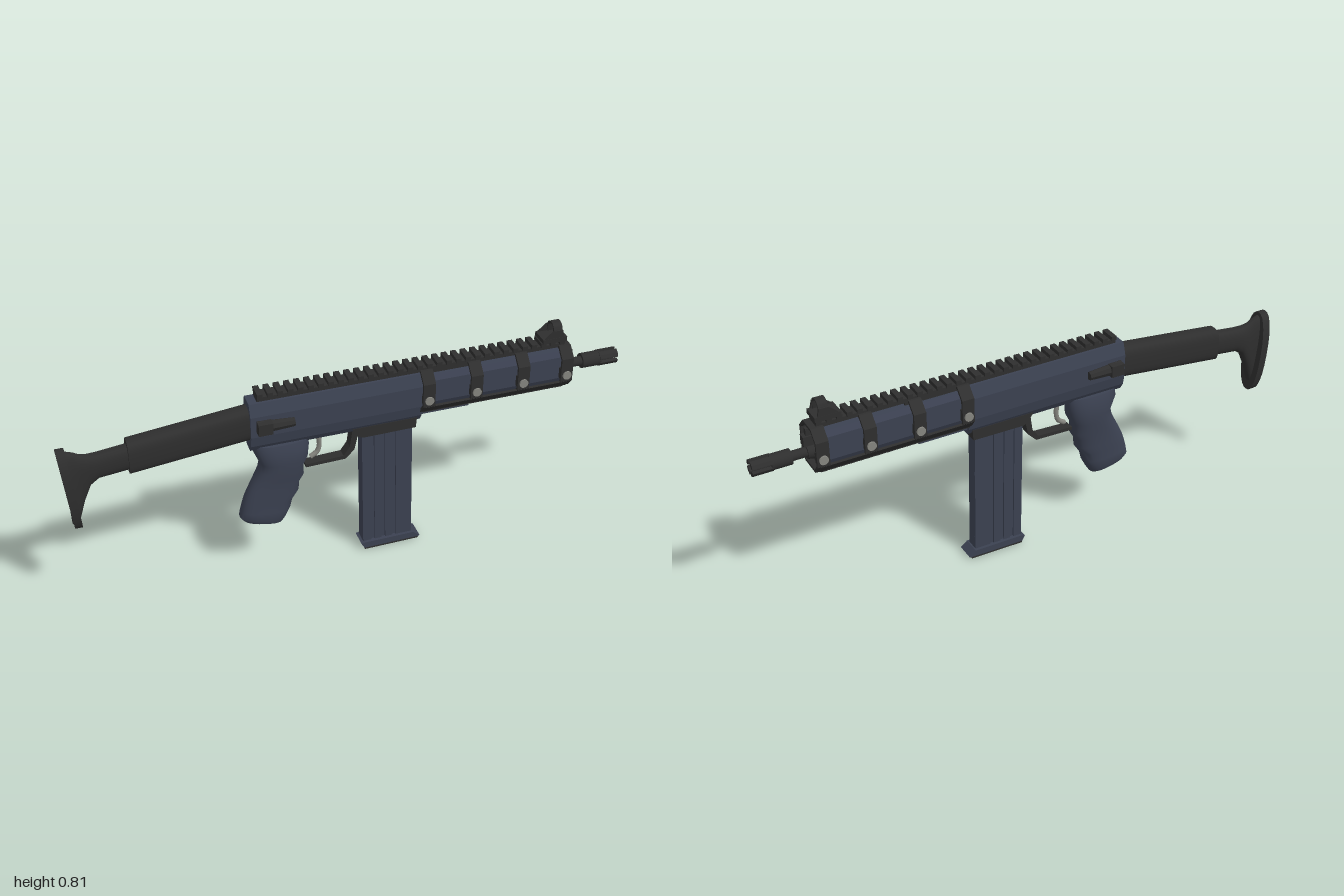
import * as THREE from 'three';
import { toCreasedNormals } from 'three/addons/utils/BufferGeometryUtils.js';

const mat = (name, color) => new THREE.MeshStandardMaterial({ name, color });

export function createModel() {
  const model = new THREE.Group();
  const blue = mat('slate blue', 0x3b4151);
  const dark = mat('charcoal', 0x2e2e2e);
  const grey = mat('steel grey', 0x85857f);

  const add = (name, geometry, material) => {
    const mesh = new THREE.Mesh(geometry, material);
    mesh.name = name;
    model.add(mesh);
    return mesh;
  };
  const box = (name, m, x0, x1, y0, y1, z0, z1) => add(name,
    new THREE.BoxGeometry(x1 - x0, y1 - y0, z1 - z0)
      .translate((x0 + x1) / 2, (y0 + y1) / 2, (z0 + z1) / 2), m);
  const toShape = (pts) => new THREE.Shape(pts.map((p) => new THREE.Vector2(...p)));
  const mirrored = (half) => [...half, ...half.map(([z, y]) => [-z, y]).reverse()];
  // Side outline in x,y with thickness across z
  const plate = (name, m, pts, z0, z1) => add(name,
    new THREE.ExtrudeGeometry(toShape(pts), { depth: z1 - z0, bevelEnabled: false })
      .translate(0, 0, z0), m);
  // Cross-section in z,y stretched along x
  const prism = (name, m, shape, x0, x1, creased = false) => {
    let g = new THREE.ExtrudeGeometry(shape, { depth: x1 - x0, bevelEnabled: false, curveSegments: 16 });
    g.rotateY(Math.PI / 2).translate(x0, 0, 0);
    if (creased) g = toCreasedNormals(g, 0.6);
    return add(name, g, m);
  };
  const rod = (name, m, x0, x1, y, r0, r1 = r0) => add(name,
    new THREE.CylinderGeometry(r1, r0, x1 - x0, 24).rotateZ(-Math.PI / 2)
      .translate((x0 + x1) / 2, y, 0), m);
  // Skin over a row of closed rings, capped at both ends
  const loft = (name, m, rings, crease = 0.7) => {
    const n = rings[0].length, pos = rings.flat(2), index = [];
    for (let i = 0; i < rings.length - 1; i++) for (let j = 0; j < n; j++) {
      const a = i * n + j, b = i * n + (j + 1) % n;
      index.push(a, b, a + n, b, b + n, a + n);
    }
    for (const [ring, start] of [[rings[0], true], [rings[rings.length - 1], false]]) {
      const c = pos.length / 3, base = start ? 0 : (rings.length - 1) * n;
      for (let k = 0; k < 3; k++) pos.push(ring.reduce((s, p) => s + p[k], 0) / n);
      for (let j = 0; j < n; j++) {
        const a = base + j, b = base + (j + 1) % n;
        index.push(c, ...(start ? [b, a] : [a, b]));
      }
    }
    const g = new THREE.BufferGeometry();
    g.setAttribute('position', new THREE.Float32BufferAttribute(pos, 3));
    g.setIndex(index);
    return add(name, toCreasedNormals(g, crease), m);
  };
  const oval = (fn, power = 0.7, n = 28) => Array.from({ length: n }, (_, i) => {
    const a = i / n * Math.PI * 2, c = Math.cos(a), s = Math.sin(a);
    return fn(Math.sign(c) * Math.abs(c) ** power, Math.sign(s) * Math.abs(s) ** power);
  });

  // Receiver and the slimmer body under the handguard cage
  prism('receiver', blue, toShape(mirrored([[0.022, 0.525], [0.037, 0.55], [0.045, 0.59],
    [0.045, 0.67], [0.03, 0.715]])), -0.36, 0.25);
  prism('handguardBody', blue, toShape(mirrored([[0.03, 0.575], [0.042, 0.6],
    [0.042, 0.685], [0.03, 0.705]])), 0.25, 0.77);
  plate('lowerWedge', blue, [[0.22, 0.545], [0.43, 0.545], [0.43, 0.58], [0.22, 0.58]], -0.025, 0.025);

  // Toothed rails above and below
  box('topRailBase', dark, -0.33, 0.78, 0.718, 0.733, -0.025, 0.025);
  for (let i = 0; i < 32; i++) {
    const x = -0.33 + i * 0.0352;
    box('topRailTooth', dark, x, x + 0.019, 0.731, 0.747, -0.03, 0.03);
  }
  box('topRailFoot', dark, -0.33, 0.47, 0.705, 0.72, -0.02, 0.02);
  box('bottomRailBase', dark, 0.25, 0.78, 0.565, 0.582, -0.045, 0.045);
  for (let i = 0; i < 8; i++) {
    const x = 0.53 + i * 0.0325;
    box('bottomRailTooth', dark, x, x + 0.018, 0.55, 0.567, -0.025, 0.025);
  }

  // Handguard cage: four hoops joined by lower side bars
  const hoop = toShape(mirrored([[0.042, 0.567], [0.068, 0.6], [0.068, 0.69], [0.033, 0.726]]));
  hoop.holes.push(new THREE.Path(mirrored([[0.037, 0.576], [0.059, 0.603], [0.059, 0.686],
    [0.029, 0.717]]).map((p) => new THREE.Vector2(...p))));
  for (const x of [0.265, 0.44, 0.615, 0.78]) {
    prism('cageHoop', dark, hoop, x - 0.022, x + 0.022);
    for (const s of [-1, 1]) {
      add('cageBolt', new THREE.CylinderGeometry(0.016, 0.016, 0.012, 16)
        .rotateX(Math.PI / 2).translate(x, 0.625, s * 0.068), grey);
      box('boltSpacer', dark, x - 0.018, x + 0.018, 0.605, 0.645, s < 0 ? -0.062 : 0.04, s < 0 ? -0.04 : 0.062);
    }
  }
  for (const s of [-1, 1]) {
    prism('cageSideBar', dark, toShape([[s * 0.036, 0.567], [s * 0.044, 0.567],
      [s * 0.068, 0.598], [s * 0.058, 0.6]]), 0.25, 0.79);
  }

  // Barrel, gas block and pronged muzzle
  rod('barrel', dark, 0.75, 0.88, 0.627, 0.017);
  rod('barrelCollar', dark, 0.77, 0.812, 0.627, 0.03, 0.024);
  box('gasBlock', dark, 0.77, 0.822, 0.655, 0.69, -0.014, 0.014);
  box('gasBlockPost', dark, 0.79, 0.81, 0.68, 0.715, -0.008, 0.008);
  rod('muzzleBase', dark, 0.865, 0.935, 0.627, 0.027);
  for (let i = 0; i < 4; i++) {
    const a = i * Math.PI / 2 + Math.PI / 4, sector = new THREE.Shape();
    sector.absarc(0, 0, 0.029, a - 0.55, a + 0.55, false);
    sector.absarc(0, 0, 0.016, a + 0.55, a - 0.55, true);
    prism('muzzleProng', dark, sector, 0.93, 1, true).position.y = 0.627;
  }

  // Front sight: base, hood and sloping wings
  box('sightBase', dark, 0.695, 0.785, 0.745, 0.762, -0.034, 0.034);
  const hood = new THREE.Shape();
  hood.moveTo(-0.032, 0.755).lineTo(-0.028, 0.785);
  hood.absarc(0, 0.784, 0.028, Math.PI, 0, true);
  hood.lineTo(0.032, 0.755).lineTo(0.025, 0.755).lineTo(0.022, 0.784);
  hood.absarc(0, 0.784, 0.022, 0, Math.PI, false);
  hood.lineTo(-0.025, 0.755);
  prism('sightHood', dark, hood, 0.735, 0.768, true);
  for (const z of [-0.033, 0.027])
    plate('sightWing', dark, [[0.7, 0.76], [0.775, 0.76], [0.768, 0.79], [0.735, 0.79]], z, z + 0.006);

  // Side levers
  for (const s of [-1, 1]) {
    const g = new THREE.CylinderGeometry(0.024, 0.016, 0.13, 8).rotateZ(Math.PI / 2 - 0.02);
    add('sideLever', toCreasedNormals(g, 0.3), dark).position.set(-0.275, 0.633, s * 0.05);
    box('leverEnd', dark, -0.34, -0.29, 0.612, 0.655, s < 0 ? -0.074 : 0.04, s < 0 ? -0.04 : 0.074);
  }

  // Stock: thick sleeve, thin neck flaring to the butt plate; rows are x, bottom, top, half width
  const stockRings = (rows, power) => rows.map(([x, lo, hi, w]) =>
    oval((c, s) => [x, (lo + hi) / 2 + s * (hi - lo) / 2, c * w], power));
  loft('stockSleeve', dark, stockRings([[-0.35, 0.568, 0.692, 0.037], [-0.77, 0.522, 0.646, 0.037]], 0.6));
  loft('stockNeck', dark, stockRings([[-0.76, 0.535, 0.63, 0.027], [-0.87, 0.523, 0.617, 0.027],
    [-0.9, 0.5, 0.617, 0.026], [-0.925, 0.44, 0.623, 0.024], [-0.945, 0.375, 0.635, 0.024],
    [-0.975, 0.35, 0.645, 0.03]], 0.8));
  const pad = (x, lean) => oval((c, s) => [x + lean * s, 0.495 + s * 0.16, c * 0.052], 0.85);
  loft('buttPlate', dark, [pad(-0.957, -0.013), pad(-0.985, -0.015)], 0.5);

  // Pistol grip with finger swells; rows are back x, back y, front x, front y, half width
  const gripRows = [[-0.345, 0.535, -0.15, 0.535, 0.042], [-0.345, 0.505, -0.15, 0.505, 0.052],
    [-0.325, 0.455, -0.155, 0.46, 0.053], [-0.332, 0.425, -0.172, 0.425, 0.05],
    [-0.35, 0.39, -0.17, 0.385, 0.047], [-0.368, 0.355, -0.187, 0.355, 0.043],
    [-0.382, 0.325, -0.19, 0.32, 0.044], [-0.392, 0.295, -0.213, 0.285, 0.042],
    [-0.4, 0.265, -0.222, 0.25, 0.043], [-0.405, 0.24, -0.24, 0.215, 0.043],
    [-0.395, 0.226, -0.252, 0.196, 0.036]];
  loft('grip', blue, gripRows.map(([xb, yb, xf, yf, w]) => oval((c, s) => {
    const t = (c + 1) / 2;
    return [xb + (xf - xb) * t, yb + (yf - yb) * t, s * w];
  }, 0.8)));

  // Trigger and its guard
  const guard = toShape([[-0.165, 0.408], [-0.02, 0.412], [0.012, 0.445], [0.03, 0.53],
    [0.005, 0.53], [-0.005, 0.46], [-0.028, 0.426], [-0.165, 0.42]]);
  add('triggerGuard', new THREE.ExtrudeGeometry(guard, { depth: 0.036, bevelEnabled: false })
    .translate(0, 0, -0.018), dark);
  const triggerPath = new THREE.CatmullRomCurve3([[-0.115, 0.53], [-0.11, 0.485], [-0.118, 0.455],
    [-0.143, 0.437]].map(([x, y]) => new THREE.Vector3(x, y, 0)));
  add('trigger', new THREE.TubeGeometry(triggerPath, 12, 0.009, 8), grey);

  // Magazine with raised ribs, its well and its floor plate
  plate('magazineWell', dark, [[0, 0.54], [0.02, 0.505], [0.04, 0.498], [0.232, 0.5], [0.235, 0.54]], -0.033, 0.033);
  const slab = (name, x0, x1, y0, y1, w) => plate(name, blue,
    [[x0 + 0.008, y0], [x1 + 0.008, y0], [x1, y1], [x0, y1]], -w, w);
  slab('magazineBody', 0.037, 0.222, 0.025, 0.52, 0.017);
  for (const [x0, x1] of [[0.037, 0.068], [0.082, 0.108], [0.122, 0.148], [0.162, 0.222]])
    slab('magazineRib', x0, x1, 0.025, 0.51, 0.023);
  plate('magazineFloor', blue, [[0.048, 0.003], [0.25, 0.006], [0.26, 0.012], [0.235, 0.032],
    [0.05, 0.03], [0.035, 0.026]], -0.034, 0.034);
  plate('magazineFoot', dark, [[0.048, 0], [0.25, 0.003], [0.255, 0.009], [0.046, 0.006]], -0.0345, 0.0345);

  return model;
}
